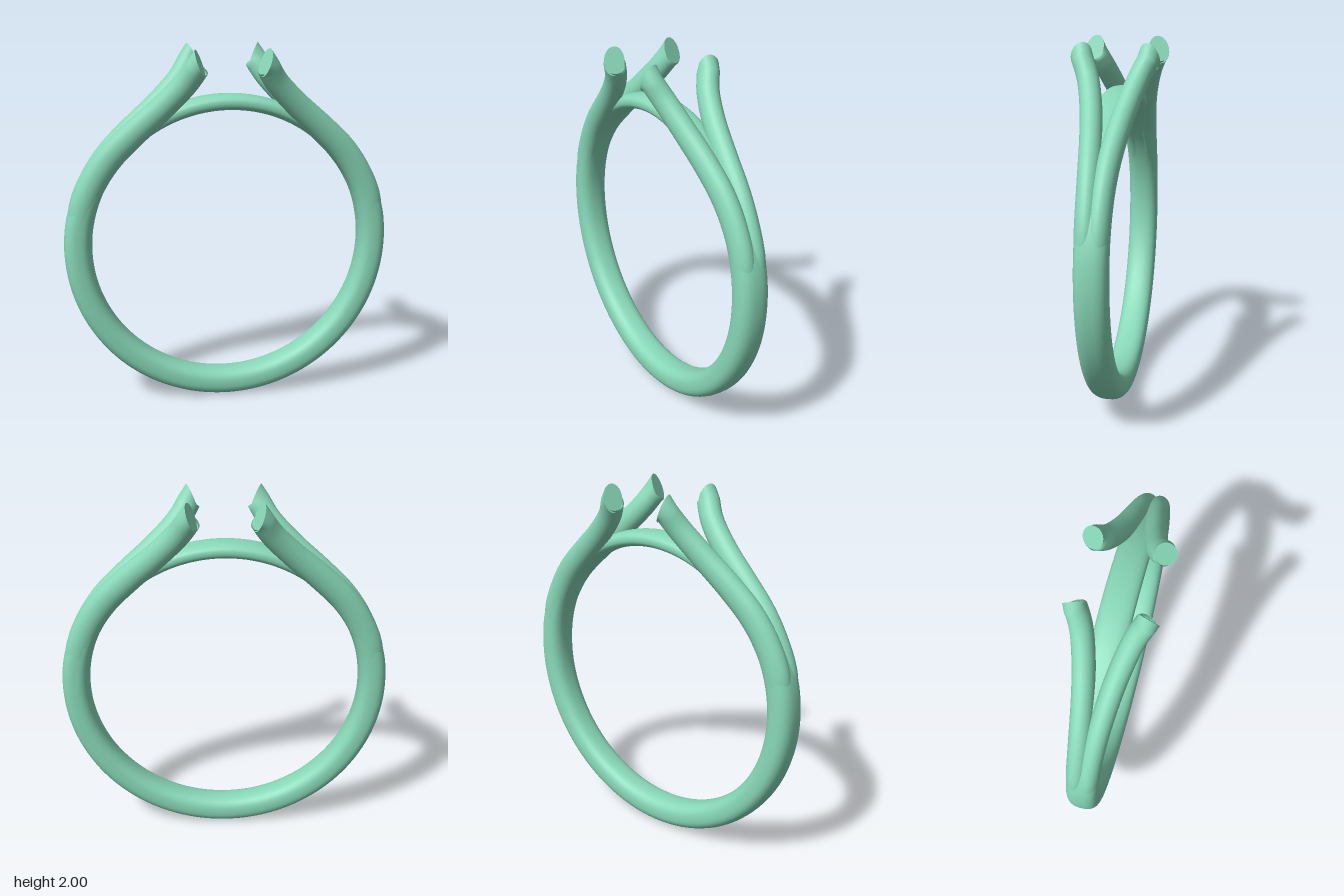
import * as THREE from 'three';

const CY = 0.907;       // height of the ring's centre
const INNER = 0.754;    // finger-hole radius
const material = new THREE.MeshStandardMaterial({ color: 0x88d8b8 });

// Skins a list of sections { c, n, b, e }: centre, two half-axis vectors, roundness exponent
function skin(sections, sides, closed) {
  const pos = [], index = [];
  for (const { c, n, b, e } of sections) {
    for (let j = 0; j < sides; j++) {
      const a = (j / sides) * Math.PI * 2, u = Math.cos(a), v = Math.sin(a);
      const p = c.clone()
        .addScaledVector(n, Math.sign(u) * Math.abs(u) ** (2 / e))
        .addScaledVector(b, Math.sign(v) * Math.abs(v) ** (2 / e));
      pos.push(p.x, p.y, p.z);
    }
  }
  const count = sections.length;
  for (let i = 0; i < (closed ? count : count - 1); i++) {
    for (let j = 0; j < sides; j++) {
      const k = (j + 1) % sides, i2 = (i + 1) % count;
      const p = i * sides + j, q = i * sides + k, r = i2 * sides + j, s = i2 * sides + k;
      index.push(p, q, r, q, s, r);
    }
  }
  // Flat end face with its own vertices, so its rim stays sharp
  if (!closed) {
    const start = pos.length / 3, last = (count - 1) * sides;
    const c = sections[count - 1].c;
    const rim = pos.slice(last * 3);
    pos.push(c.x, c.y, c.z, ...rim);
    for (let j = 0; j < sides; j++) index.push(start, start + 1 + j, start + 1 + ((j + 1) % sides));
  }
  const g = new THREE.BufferGeometry();
  g.setAttribute('position', new THREE.Float32BufferAttribute(pos, 3));
  g.setIndex(index);
  g.computeVertexNormals();
  return g;
}

// Round band that thins into a slim bridge across the top
function bandGeometry() {
  const sections = [], steps = 160;
  for (let i = 0; i < steps; i++) {
    const a = (i / steps) * Math.PI * 2;
    const out = new THREE.Vector3(Math.cos(a), Math.sin(a), 0);
    const lift = THREE.MathUtils.radToDeg(Math.asin(out.y));
    const half = THREE.MathUtils.lerp(0.0765, 0.043, THREE.MathUtils.smoothstep(lift, 8, 58));
    sections.push({
      c: out.clone().multiplyScalar(INNER + half).add(new THREE.Vector3(0, CY, 0)),
      n: out.clone().multiplyScalar(-half),
      b: new THREE.Vector3(0, 0, 0.087),
      e: 2.5,
    });
  }
  return skin(sections, 32, true);
}

// Prong centre line on the +x, +z side
const PRONG = [
  [0.825, 0.907, 0.028], [0.797, 1.145, 0.031], [0.73, 1.3, 0.035], [0.64, 1.43, 0.044],
  [0.51, 1.56, 0.062], [0.362, 1.695, 0.092], [0.24, 1.825, 0.133], [0.173, 1.93, 0.18],
];

// Prong that peels off the band and ends in a steep cut facing the centre
function prongGeometry(sx, sz) {
  const curve = new THREE.CatmullRomCurve3(
    PRONG.map(([x, y, z]) => new THREE.Vector3(x * sx, y, z * sz)));
  const sections = [], steps = 48;
  for (let i = 0; i <= steps; i++) {
    const t = i / steps;
    const tan = curve.getPointAt(t).clone() && curve.getTangentAt(t);
    const b = new THREE.Vector3(0, 0, 1).addScaledVector(tan, -tan.z).normalize();
    const n = b.clone().cross(tan);
    const swell = THREE.MathUtils.smoothstep(t, 0, 0.2);
    n.multiplyScalar(0.06 + 0.014 * swell - 0.01 * THREE.MathUtils.smoothstep(t, 0.4, 1));
    b.multiplyScalar(0.052 + 0.006 * swell);
    if (i === steps) n.set(-0.0275, -0.07 * sx, 0);
    sections.push({ c: curve.getPointAt(t), n, b, e: 2 });
  }
  return skin(sections, 28, false);
}

export function createModel() {
  const model = new THREE.Group();
  model.name = 'ring';
  const add = (name, geometry) => {
    const mesh = new THREE.Mesh(geometry, material);
    mesh.name = name;
    model.add(mesh);
  };

  add('band', bandGeometry());
  for (const sx of [1, -1]) {
    for (const sz of [1, -1]) {
      add(`${sz > 0 ? 'front' : 'back'}${sx > 0 ? 'Left' : 'Right'}Prong`, prongGeometry(sx, sz));
    }
  }
  return model;
}
